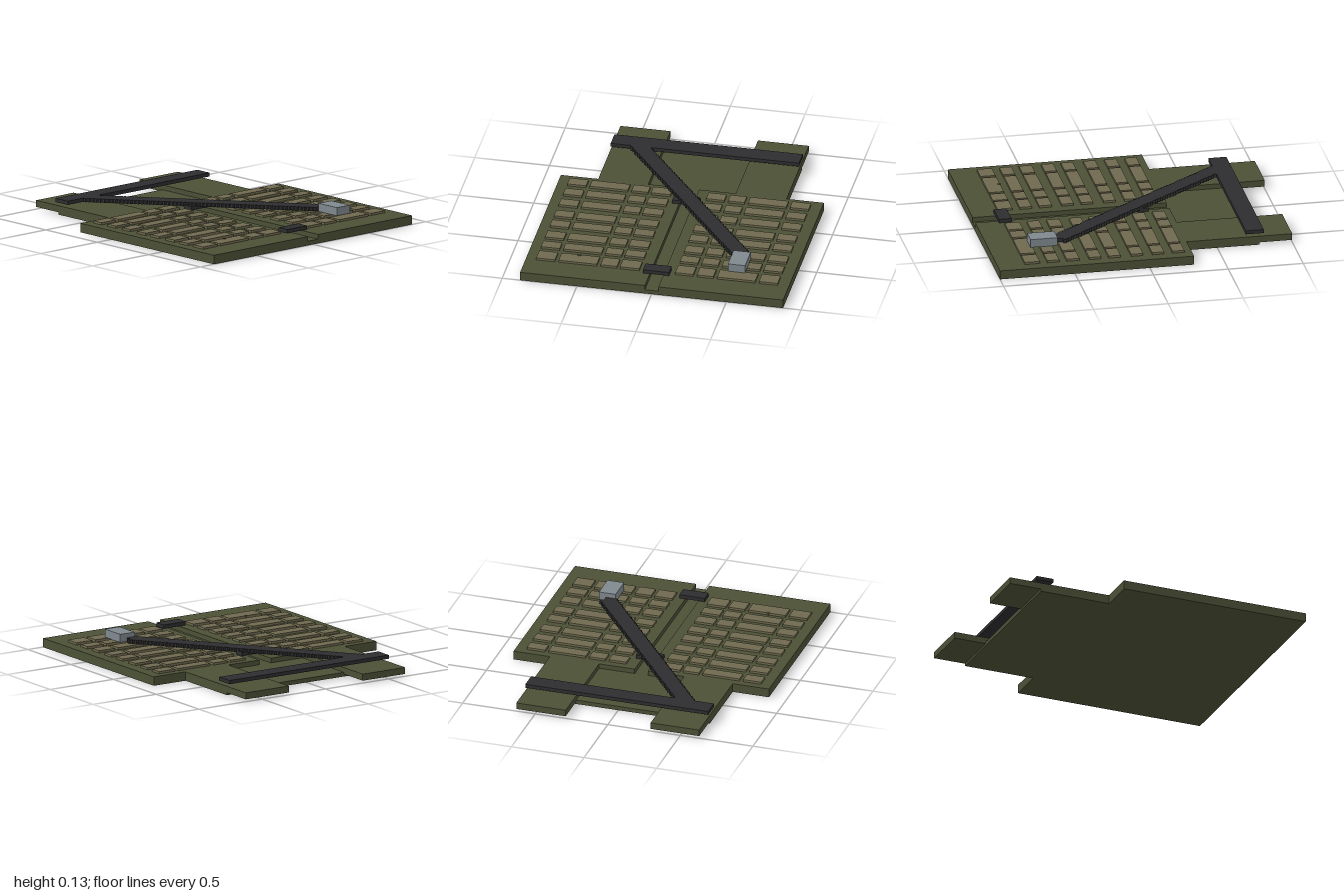
import * as THREE from 'three';

const mat = (name, color) => {
  const m = new THREE.MeshStandardMaterial({ color });
  m.name = name;
  return m;
};

export function createModel() {
  const model = new THREE.Group();
  model.name = 'strappedPanel';
  const olive = mat('olive', 0x4b5036);
  const tan = mat('tan', 0x6e694e);
  const black = mat('black', 0x2d2d2f);
  const steel = mat('steel', 0x7f888e);
  const brown = mat('brown', 0x554a38);

  // Box given by its limits on each axis
  const box = (name, material, x0, x1, y0, y1, z0, z1, parent = model) => {
    const mesh = new THREE.Mesh(new THREE.BoxGeometry(x1 - x0, y1 - y0, z1 - z0), material);
    mesh.position.set((x0 + x1) / 2, (y0 + y1) / 2, (z0 + z1) / 2);
    mesh.name = name;
    parent.add(mesh);
    return mesh;
  };
  // Flat plate from an outline of [x, z] points
  const plate = (name, material, points, y0, y1) => {
    const shape = new THREE.Shape(points.map(([x, z]) => new THREE.Vector2(x, -z)));
    const geo = new THREE.ExtrudeGeometry(shape, { depth: y1 - y0, bevelEnabled: false });
    geo.rotateX(-Math.PI / 2);
    const mesh = new THREE.Mesh(geo, material);
    mesh.position.y = y0;
    mesh.name = name;
    model.add(mesh);
  };

  // Backing slab, whose top is the floor of the groove and recess
  const floor = 0.028, top = 0.06;
  plate('backing', olive, [
    [-0.88, 1], [0.88, 1], [0.88, -0.295], [0.63, -0.295],
    [0.63, -0.78], [-0.63, -0.78], [-0.63, -0.295], [-0.88, -0.295],
  ], 0, floor);

  // Raised halves either side of the groove, and rear tabs
  plate('leftPanel', olive, [
    [0.045, 1], [0.88, 1], [0.88, -0.295], [0.63, -0.295],
    [0.63, -0.78], [0.29, -0.78], [0.29, -0.295], [0.045, -0.295],
  ], floor, top);
  plate('rightPanel', olive, [
    [-0.045, 1], [-0.045, -0.295], [-0.295, -0.295], [-0.295, -0.78],
    [-0.63, -0.78], [-0.63, -0.295], [-0.88, -0.295], [-0.88, 1],
  ], floor, top);
  box('leftTab', olive, 0.29, 0.63, 0.016, top, -1, -0.78);
  box('rightTab', olive, -0.63, -0.295, 0.016, top, -1, -0.78);

  // Grid of webbing patches
  const columns = [
    [-0.81, -0.685], [-0.66, -0.405], [-0.38, -0.27], [-0.25, -0.12],
    [0.12, 0.24], [0.265, 0.375], [0.4, 0.655], [0.68, 0.805],
  ];
  const rows = [
    [-0.245, -0.165], [-0.11, -0.03], [0.03, 0.11], [0.18, 0.26],
    [0.31, 0.39], [0.455, 0.54], [0.59, 0.67], [0.72, 0.82],
  ];
  const patches = new THREE.Group();
  patches.name = 'patches';
  model.add(patches);
  for (const [x0, x1] of columns)
    for (const [z0, z1] of rows) box('patch', tan, x0, x1, top, 0.075, z0, z1, patches);

  // Small stud on one patch
  const stud = new THREE.Mesh(new THREE.CylinderGeometry(0.012, 0.012, 0.017, 12), brown);
  stud.position.set(-0.54, 0.0685, 0.727);
  stud.name = 'stud';
  model.add(stud);

  // Clips bridging the groove
  box('frontClip', black, -0.09, 0.085, 0.063, 0.088, 0.765, 0.85);
  box('rearClip', black, -0.09, 0.085, 0.063, 0.088, -0.15, -0.08);

  // Rear bar and diagonal strap with stepped edges
  box('rearBar', black, -0.63, 0.63, 0.08, 0.105, -0.81, -0.69);
  const steps = 62, z0 = -0.69, z1 = 0.55;
  const leftEdge = [], rightEdge = [];
  for (let i = 0; i < steps; i++) {
    const a = z0 + ((z1 - z0) * i) / steps;
    const b = z0 + ((z1 - z0) * (i + 1)) / steps;
    const x = -0.5 + 0.945 * ((i + 0.5) / steps);
    const right = i > steps - 3 ? 0.52 : x + 0.137;
    leftEdge.push([x, a], [x, b]);
    rightEdge.push([right, a], [right, b]);
  }
  plate('diagonalStrap', black, [...leftEdge, ...rightEdge.reverse()], 0.08, 0.105);

  // Metal buckle at the strap end
  box('buckle', steel, 0.455, 0.57, 0.078, 0.133, 0.555, 0.735);
  return model;
}
